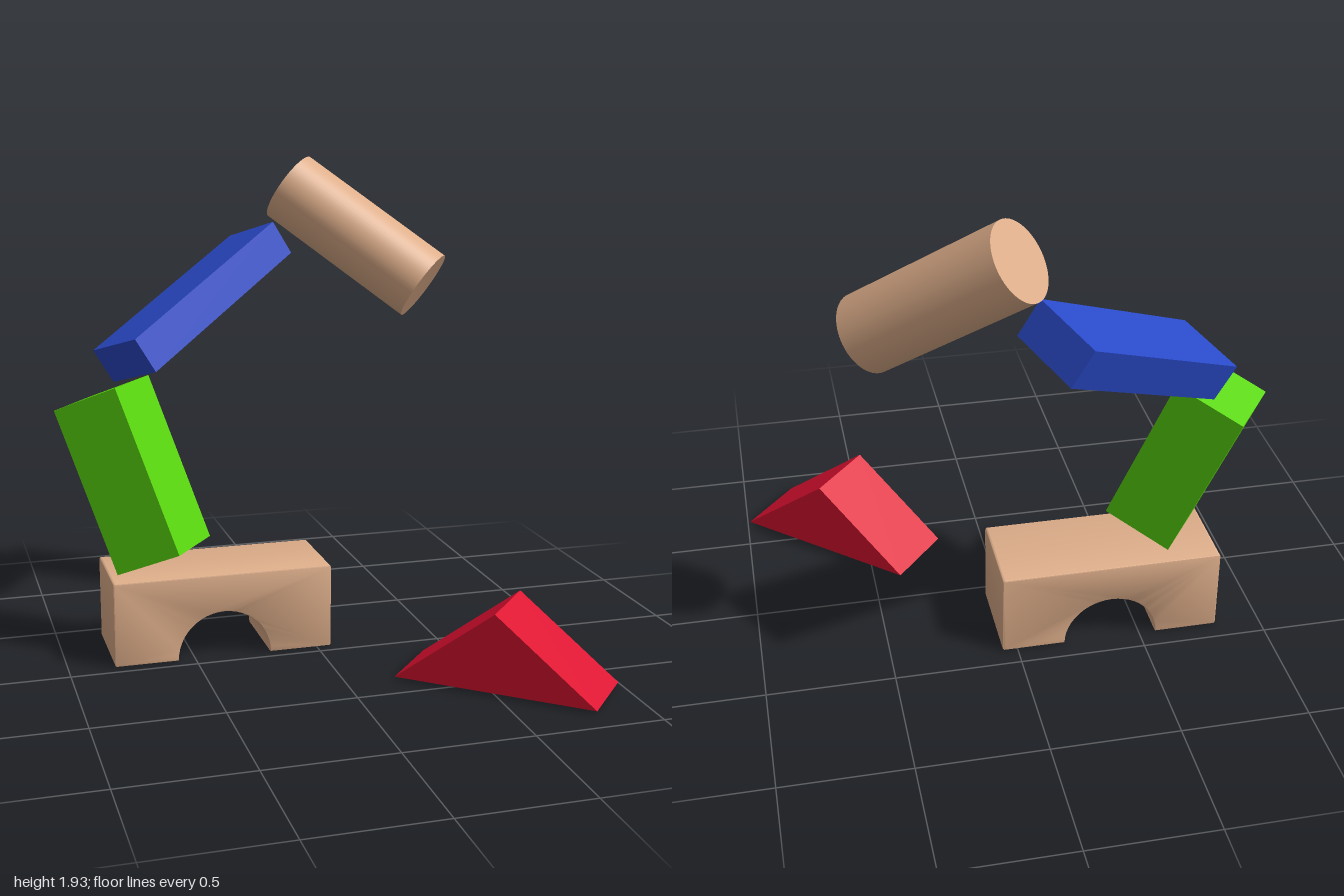
import * as THREE from 'three';
import { toCreasedNormals } from 'three/addons/utils/BufferGeometryUtils.js';

const material = (name, color) => {
  const m = new THREE.MeshStandardMaterial({ color });
  m.name = name;
  return m;
};

export function createModel() {
  const group = new THREE.Group();
  const wood = material('natural wood', 0xdeae8a);
  const green = material('green paint', 0x5ad80e);
  const blue = material('blue paint', 0x2a4aca);
  const red = material('red paint', 0xdd1030);

  // Adds a block centred at a point, with its local x and y axes along given directions.
  function addBlock(name, geometry, mat, centre, xDir = [1, 0, 0], yDir = [0, 1, 0]) {
    const x = new THREE.Vector3(...xDir).normalize();
    const z = x.clone().cross(new THREE.Vector3(...yDir)).normalize();
    const y = z.clone().cross(x);
    const mesh = new THREE.Mesh(geometry, mat);
    mesh.name = name;
    mesh.quaternion.setFromRotationMatrix(new THREE.Matrix4().makeBasis(x, y, z));
    mesh.position.set(...centre);
    group.add(mesh);
  }

  // Bridge block: rounded rectangle with a half-round cut, edges slightly bevelled
  const w = 0.44, h = 0.34, r = 0.187, c = 0.01, depth = 0.37, bevel = 0.005;
  const bridge = new THREE.Shape();
  bridge.moveTo(r, 0);
  bridge.lineTo(w - c, 0);
  bridge.quadraticCurveTo(w, 0, w, c);
  bridge.lineTo(w, h - c);
  bridge.quadraticCurveTo(w, h, w - c, h);
  bridge.lineTo(c - w, h);
  bridge.quadraticCurveTo(-w, h, -w, h - c);
  bridge.lineTo(-w, c);
  bridge.quadraticCurveTo(-w, 0, c - w, 0);
  bridge.lineTo(-r, 0);
  bridge.absarc(0, 0, r, Math.PI, 0, true);
  const bridgeGeometry = new THREE.ExtrudeGeometry(bridge, {
    depth: depth - 2 * bevel, curveSegments: 12,
    bevelThickness: bevel, bevelSize: bevel, bevelOffset: -bevel, bevelSegments: 2,
  });
  bridgeGeometry.translate(0, 0, bevel - depth / 2);
  addBlock('archBlock', toCreasedNormals(bridgeGeometry, 0.6), wood, [-0.38, 0, -0.235]);

  // Tilted square post standing on the bridge
  addBlock('greenPost', new THREE.BoxGeometry(0.285, 0.69, 0.29), green,
    [-0.70, 0.725, -0.24], [0.17, 0, -0.23], [-0.21, 0.64, -0.15]);

  // Flat plank leaning up from the post
  addBlock('bluePlank', new THREE.BoxGeometry(0.906, 0.153, 0.29), blue,
    [-0.38, 1.365, -0.53], [0.67, 0.39, -0.47], [-0.08, 0.13, 0]);

  // Cylinder balanced on the plank's end
  addBlock('cylinderBlock', new THREE.CylinderGeometry(0.15, 0.15, 0.70, 64), wood,
    [0.29, 1.615, -0.475], [0.33, 0, -0.48], [-0.48, 0.39, -0.33]);

  // Triangular roof block lying on the ground
  const gable = new THREE.Shape();
  gable.moveTo(-0.397, 0);
  gable.lineTo(0.397, 0);
  gable.lineTo(0, 0.31);
  gable.closePath();
  const roof = new THREE.ExtrudeGeometry(gable, { depth: 0.306, bevelEnabled: false });
  roof.translate(0, 0, -0.153);
  addBlock('roofBlock', roof, red, [0.59, 0.01, 0.51], [0.6, 0, 0.52]);

  return group;
}
